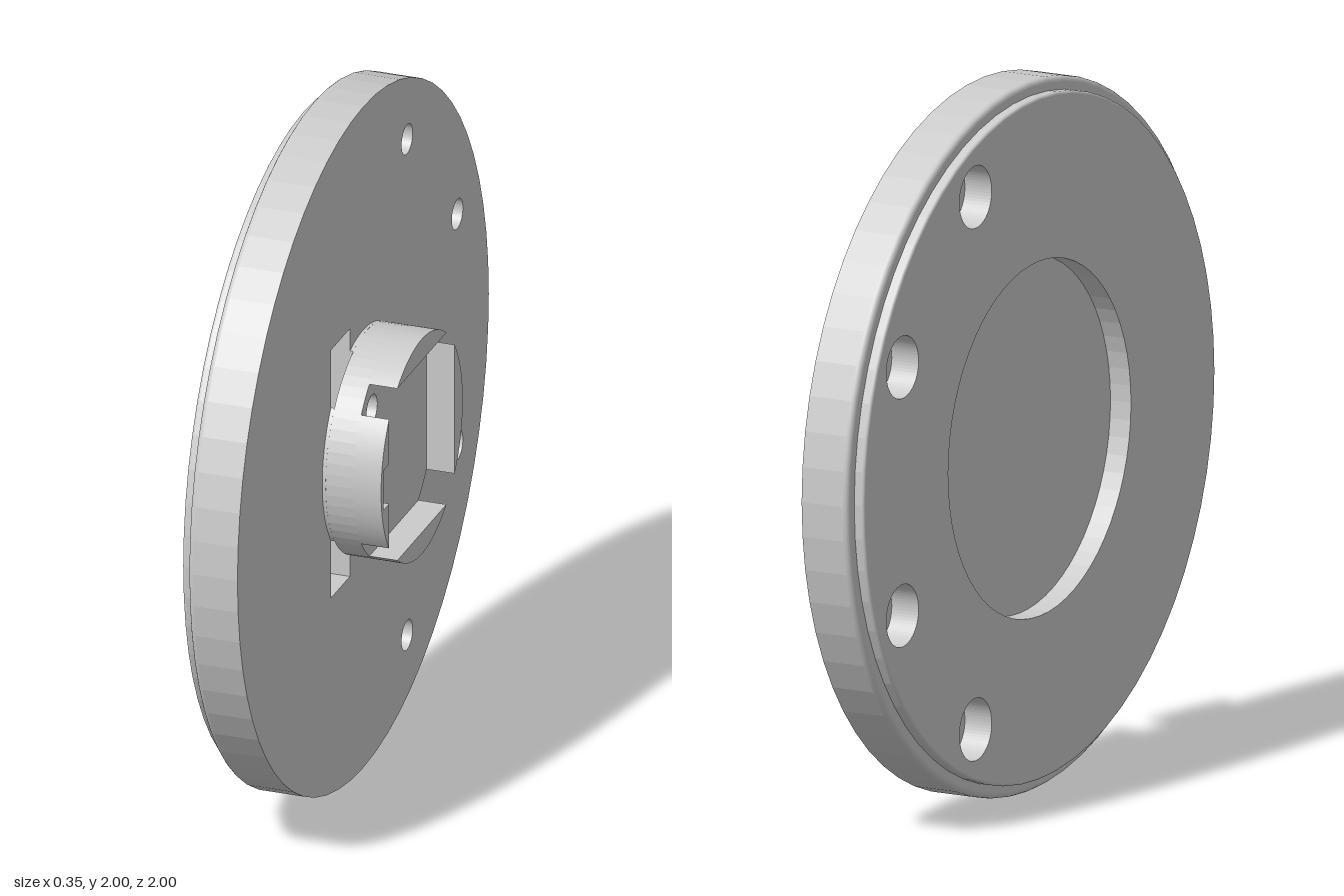
import * as THREE from 'three';

const ARC = 32; // gives 64 sides on a full circle

function circle(r, u = 0, v = 0, Type = THREE.Shape) {
  const s = new Type();
  s.absarc(u, v, r, 0, Math.PI * 2, false);
  return s;
}

function rectHole(u0, u1, v) {
  return new THREE.Path([[u0, -v], [u1, -v], [u1, v], [u0, v], [u0, -v]]
    .map(([a, b]) => new THREE.Vector2(a, b)));
}

// Part of a disc beyond a chord at distance d, with an optional notch in the chord
function segment(r, d, notch) {
  const a = Math.acos(d / r);
  const s = new THREE.Shape();
  s.absarc(0, 0, r, -a, a, false);
  if (notch) {
    s.lineTo(d, notch.half);
    s.lineTo(notch.reach, notch.half);
    s.lineTo(notch.reach, -notch.half);
    s.lineTo(d, -notch.half);
  }
  s.closePath();
  return s;
}

export function createModel() {
  const model = new THREE.Group();
  model.position.y = 1;
  const material = new THREE.MeshStandardMaterial({ color: 0xcccccc });

  const add = (name, geometry, parent) => {
    const mesh = new THREE.Mesh(geometry, material);
    mesh.name = name;
    parent.add(mesh);
  };

  // Slab between two x positions; the outline's first axis points to -z
  const slab = (name, parent, outline, x0, x1, holes = [], turn = 0) => {
    outline.holes.push(...holes);
    const g = new THREE.ExtrudeGeometry(outline, { depth: x1 - x0, bevelEnabled: false, curveSegments: ARC });
    g.rotateZ(turn).translate(0, 0, x0).rotateY(Math.PI / 2);
    add(name, g, parent);
  };

  // Rounded back edge of a disc
  const roundedEdge = (name, parent, r, x, b) => {
    const points = [];
    for (let i = 0; i <= 4; i++) {
      const t = (i / 4) * Math.PI / 2;
      points.push(new THREE.Vector2(r - b + b * Math.sin(t), x + b - b * Math.cos(t)));
    }
    add(name, new THREE.LatheGeometry(points, ARC * 2).rotateZ(-Math.PI / 2), parent);
  };

  // Main disc, layered by the depth of its holes
  const disc = new THREE.Group();
  disc.name = 'disc';
  model.add(disc);
  const centres = [[0.35, 0.75], [0.75, 0.35], [0.75, -0.35], [0.35, -0.75]];
  const screwHoles = (r) => centres.map(([u, v]) => circle(r, u, v, THREE.Path));
  const backHoles = () => [...screwHoles(0.088), circle(0.5, 0, 0, THREE.Path)];

  slab('slottedFace', disc, circle(1), -0.06, 0, [...screwHoles(0.044), rectHole(-0.255, -0.105, 0.375)]);
  slab('discCore', disc, circle(1), -0.09, -0.06, screwHoles(0.044));
  slab('counterboreLayer', disc, circle(1), -0.11, -0.09, screwHoles(0.088));
  slab('backLayer', disc, circle(1), -0.13, -0.11, backHoles());
  slab('backShoulder', disc, circle(0.985), -0.145, -0.13, backHoles());
  roundedEdge('shoulderEdge', disc, 1, -0.145, 0.015);
  slab('backLip', disc, circle(0.962), -0.167, -0.145, backHoles());
  slab('backLipFace', disc, circle(0.954), -0.175, -0.167, backHoles());
  roundedEdge('lipEdge', disc, 0.962, -0.175, 0.008);

  // Round hub with a square socket
  const hub = new THREE.Group();
  hub.name = 'hub';
  model.add(hub);
  const R = 0.325, half = 0.26;
  const notch = { reach: 0.305, half: 0.06 };

  // Base on both sides of the cross slot
  slab('hubBase', hub, segment(R, -0.105), 0, 0.01);
  slab('hubBase', hub, segment(R, 0.255, notch), 0, 0.01, [], Math.PI);

  // Socket floor with two wire holes and a key opening
  slab('socketFloor', hub, circle(R), 0.01, 0.09, [
    circle(0.043, -0.175, 0.175, THREE.Path),
    circle(0.043, -0.175, -0.175, THREE.Path),
    rectHole(-0.305, -0.2, 0.06),
  ]);

  // Four walls left around the square socket; the front one is notched
  for (let i = 0; i < 4; i++) {
    slab('socketWall', hub, segment(R, half, i === 2 ? notch : null), 0.09, 0.172, [], i * Math.PI / 2);
  }

  const group = new THREE.Group();
  group.name = 'flangePlate';
  group.add(model);
  return group;
}
